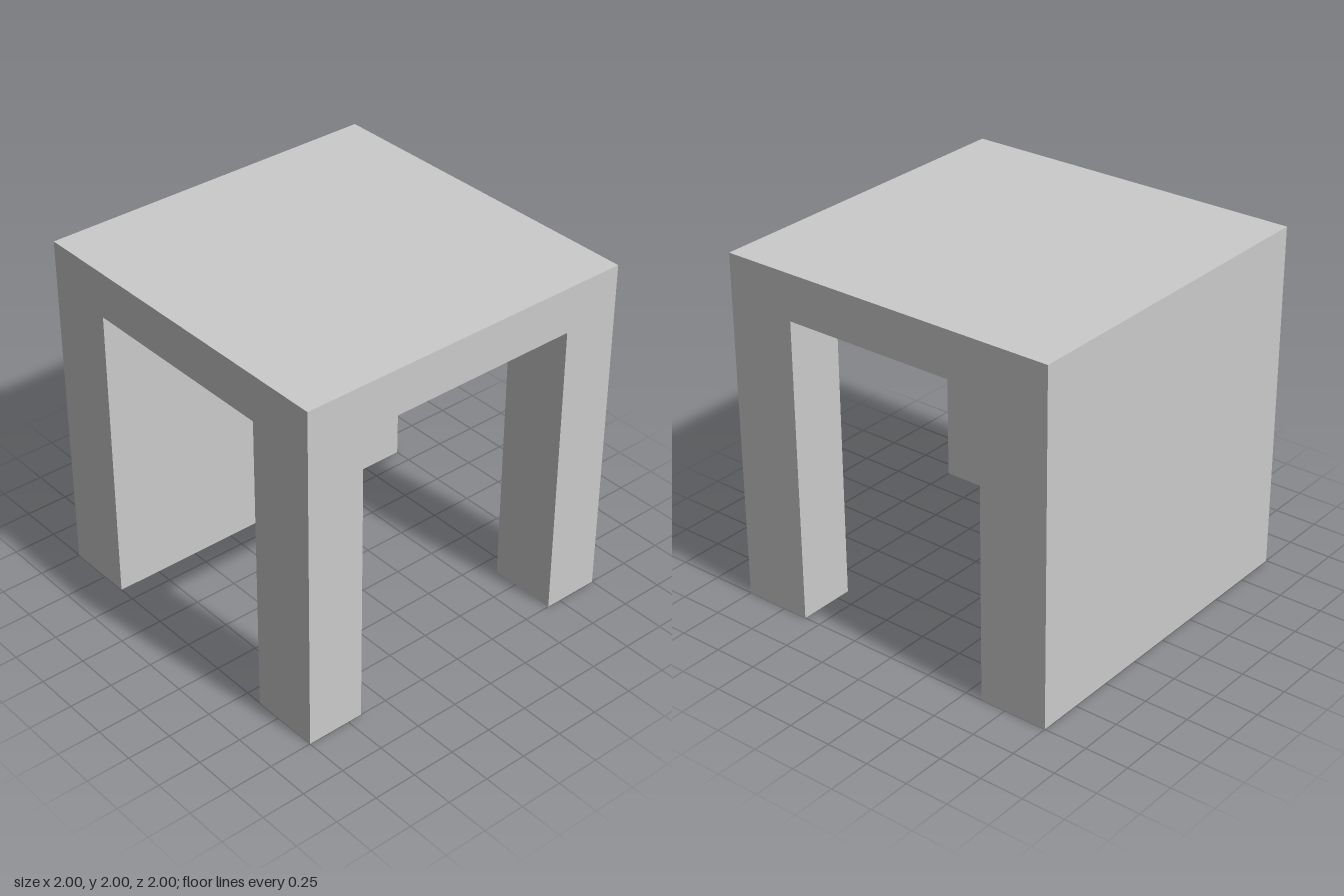
import * as THREE from 'three';

export function createModel() {
  const group = new THREE.Group();
  const material = new THREE.MeshStandardMaterial({ color: 0xcccccc, flatShading: true });

  // Box given by its minimum and maximum corners
  function box(name, [x0, y0, z0], [x1, y1, z1]) {
    const mesh = new THREE.Mesh(new THREE.BoxGeometry(x1 - x0, y1 - y0, z1 - z0), material);
    mesh.position.set((x0 + x1) / 2, (y0 + y1) / 2, (z0 + z1) / 2);
    mesh.name = name;
    group.add(mesh);
  }

  const under = 1.74; // underside of the top
  const legInner = 0.665;
  const depthInner = 0.6;

  // Thick square top
  box('tableTop', [-1, under, -1], [1, 2, 1]);

  // Full-width back panel
  box('backPanel', [-1, 0, -1], [1, under, -depthInner]);

  // Two front legs
  box('frontLegLeft', [legInner, 0, depthInner], [1, under, 1]);
  box('frontLegRight', [-1, 0, depthInner], [-legInner, under, 1]);

  return group;
}
